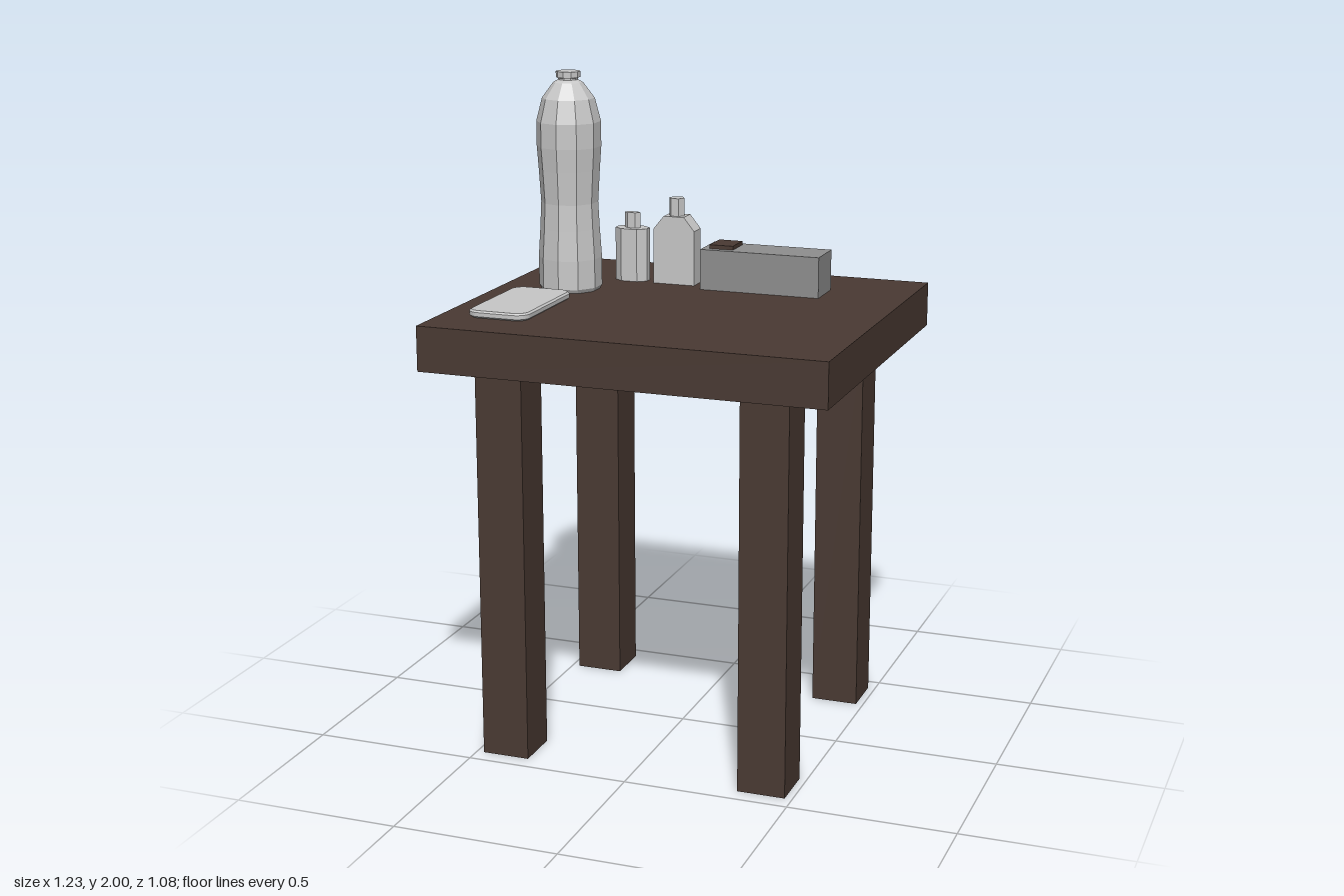
import * as THREE from 'three';

const wood = new THREE.MeshStandardMaterial({ color: 0x4a3a33 });
wood.name = 'dark brown';
const pale = new THREE.MeshStandardMaterial({ color: 0xc8c8c8 });
pale.name = 'light grey';
const grey = new THREE.MeshStandardMaterial({ color: 0x8f8f8f });
grey.name = 'mid grey';

const TOP = 1.335; // height of the table surface

function add(parent, name, geometry, material, x = 0, y = 0, z = 0) {
  const mesh = new THREE.Mesh(geometry, material);
  mesh.name = name;
  mesh.position.set(x, y, z);
  parent.add(mesh);
  return mesh;
}

// Box given by its extents
function block(parent, name, material, [x0, x1], [y0, y1], [z0, z1]) {
  return add(parent, name, new THREE.BoxGeometry(x1 - x0, y1 - y0, z1 - z0), material,
    (x0 + x1) / 2, (y0 + y1) / 2, (z0 + z1) / 2);
}

// Faceted ten-sided bottle; profile is [radius, height]
function roundBottle(parent, name, x, z, scaleR, scaleY) {
  const profile = [
    [0, 0], [0.09, 0], [0.097, 0.012], [0.097, 0.1], [0.091, 0.19], [0.087, 0.27],
    [0.093, 0.37], [0.098, 0.44], [0.098, 0.515], [0.08, 0.585], [0.045, 0.632],
    [0.03, 0.64], [0.03, 0.645], [0.037, 0.647], [0.037, 0.665], [0, 0.665],
  ].map(([r, y]) => new THREE.Vector2(r * scaleR, y * scaleY));
  const geometry = new THREE.LatheGeometry(profile, 10).toNonIndexed();
  geometry.computeVertexNormals();
  add(parent, name, geometry, pale, x, TOP, z);
}

function shapeOf(points) {
  return new THREE.Shape(points.map(([x, y]) => new THREE.Vector2(x, y)));
}

// Upright prism with a plan outline
function prism(parent, name, points, x, y, z, height) {
  const geometry = new THREE.ExtrudeGeometry(shapeOf(points), { depth: height, bevelEnabled: false });
  geometry.rotateX(-Math.PI / 2);
  return add(parent, name, geometry, pale, x, y, z);
}

const hexagon = (a, b) => [[a, 0], [a / 2, b], [-a / 2, b], [-a, 0], [-a / 2, -b], [a / 2, -b]];

export function createModel() {
  const model = new THREE.Group();
  model.name = 'table with toiletries';

  // Table
  block(model, 'tableTop', wood, [-0.615, 0.615], [1.2, TOP], [-0.54, 0.54]);
  for (const sx of [-1, 1]) {
    for (const sz of [-1, 1]) {
      add(model, 'tableLeg', new THREE.BoxGeometry(0.145, 1.2, 0.145), wood, sx * 0.405, 0.6, sz * 0.375);
    }
  }

  // Tall and short round bottles
  roundBottle(model, 'largeBottle', -0.4, -0.09, 1, 1);
  roundBottle(model, 'smallBottle', -0.488, -0.295, 0.59, 0.6);

  // Small flask with chamfered corners
  const flask = new THREE.Group();
  flask.name = 'smallFlask';
  model.add(flask);
  const w = 0.052, d = 0.034, cx = 0.026, cz = 0.013;
  prism(flask, 'flaskBody', [
    [w, -cz], [w, cz], [cx, d], [-cx, d], [-w, cz], [-w, -cz], [-cx, -d], [cx, -d],
  ], -0.267, TOP, -0.275, 0.165);
  prism(flask, 'flaskCap', hexagon(0.026, 0.012), -0.267, 1.5, -0.275, 0.048);

  // Wide flask with sloping shoulders
  const wide = new THREE.Group();
  wide.name = 'wideFlask';
  model.add(wide);
  const outline = shapeOf([
    [-0.067, 0], [0.067, 0], [0.067, 0.17], [0.033, 0.212], [-0.033, 0.212], [-0.067, 0.17],
  ]);
  const body = new THREE.ExtrudeGeometry(outline, { depth: 0.06, bevelEnabled: false });
  body.translate(0, 0, -0.03);
  add(wide, 'wideFlaskBody', body, pale, -0.12, TOP, -0.275);
  prism(wide, 'wideFlaskCap', hexagon(0.025, 0.02), -0.12, 1.547, -0.275, 0.055);

  // Radio-like box with a top button and a dark back panel
  const box = new THREE.Group();
  box.name = 'deviceBox';
  model.add(box);
  block(box, 'boxBody', grey, [-0.018, 0.36], [TOP, 1.46], [-0.336, -0.203]);
  block(box, 'boxButton', wood, [0.005, 0.08], [1.46, 1.472], [-0.315, -0.225]);
  block(box, 'backPanel', wood, [0.002, 0.34], [1.353, 1.442], [-0.339, -0.336]);

  // Flat tray with rounded corners and a bevelled edge
  const a = 0.089, b = 0.174, r = 0.034;
  const plan = new THREE.Shape();
  plan.absarc(a - r, b - r, r, 0, Math.PI / 2);
  plan.absarc(r - a, b - r, r, Math.PI / 2, Math.PI);
  plan.absarc(r - a, r - b, r, Math.PI, Math.PI * 1.5);
  plan.absarc(a - r, r - b, r, Math.PI * 1.5, Math.PI * 2);
  const tray = new THREE.ExtrudeGeometry(plan, {
    depth: 0.012, curveSegments: 4, bevelThickness: 0.005, bevelSize: 0.006, bevelSegments: 1,
  });
  tray.rotateX(-Math.PI / 2);
  add(model, 'tray', tray, pale, -0.435, TOP + 0.005, 0.212);

  return model;
}
